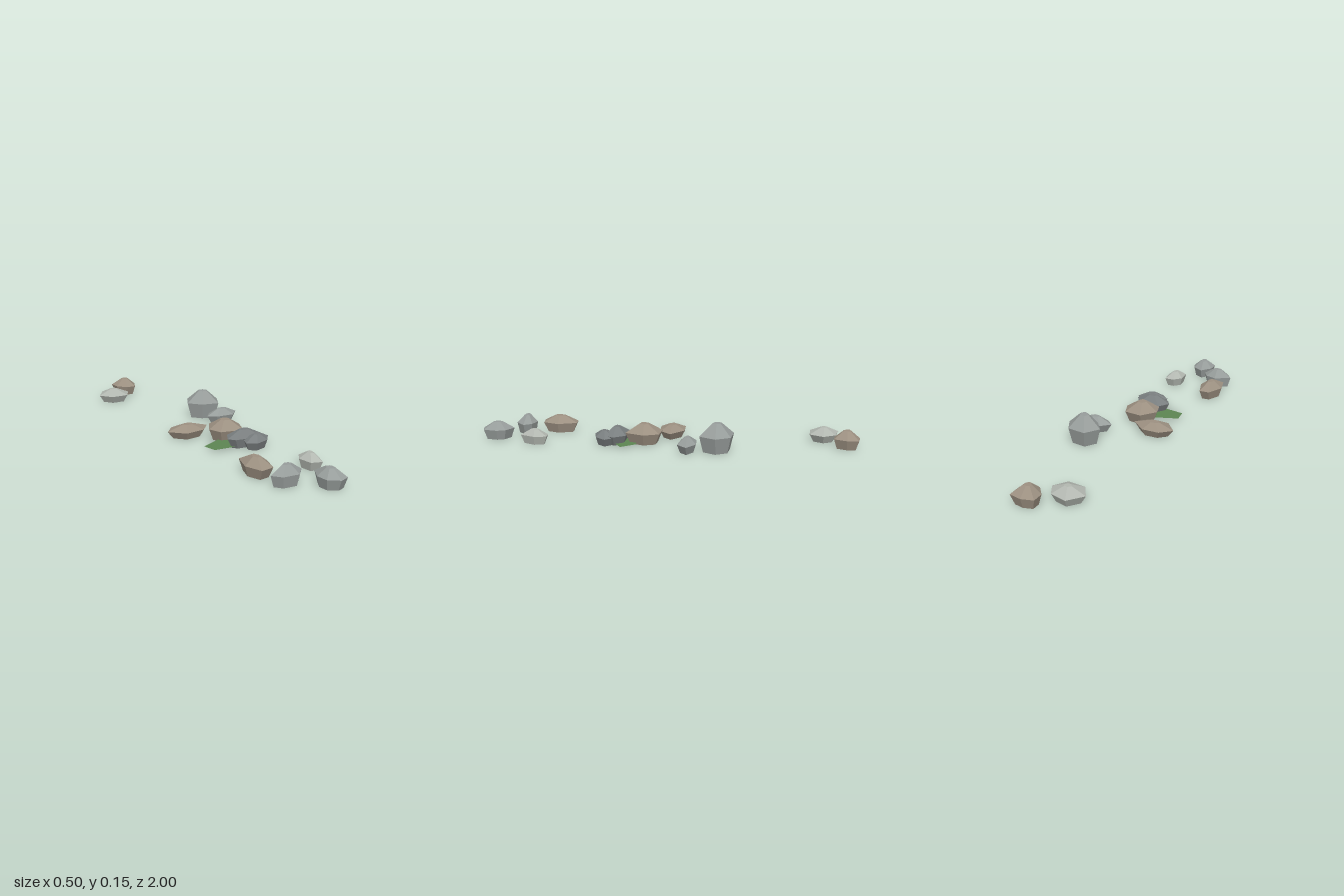
import * as THREE from 'three';

const BROWN = 0x9c9081, GREY = 0x979d9b, LIGHT = 0xb2b7b0, DARK = 0x7a7f80;
const mats = {};
const material = (color) => (mats[color] ??= new THREE.MeshStandardMaterial({ color, flatShading: true }));

// Faceted stone: narrow base ring, widest ring at `mid`, small flat crown at `height`.
// outline: widest ring as x, z pairs, clockwise from above.
function stone(name, color, height, mid, outline, base = 0.75, crown = 0.27) {
  const n = outline.length / 2;
  const xs = outline.filter((_, i) => i % 2 === 0), zs = outline.filter((_, i) => i % 2 === 1);
  const cx = (Math.min(...xs) + Math.max(...xs)) / 2, cz = (Math.min(...zs) + Math.max(...zs)) / 2;
  const ring = (y, s) => xs.map((x, i) => [(x - cx) * s, y, (zs[i] - cz) * s]);
  const rings = [ring(0, base), ring(mid, 1), ring(height, crown)];
  const pos = [];
  for (let i = 0; i < n; i++) {
    const j = (i + 1) % n;
    for (let r = 0; r < 2; r++) {
      const lo = rings[r], hi = rings[r + 1];
      pos.push(...lo[i], ...hi[i], ...hi[j], ...lo[i], ...hi[j], ...lo[j]);
    }
    pos.push(0, height, 0, ...rings[2][j], ...rings[2][i]);
    pos.push(0, 0, 0, ...rings[0][i], ...rings[0][j]);
  }
  const geo = new THREE.BufferGeometry();
  geo.setAttribute('position', new THREE.Float32BufferAttribute(pos, 3));
  geo.computeVertexNormals();
  const mesh = new THREE.Mesh(geo, material(color));
  mesh.name = name;
  mesh.position.set(cx, 0, cz);
  return mesh;
}

// Flat patch of moss lying just above the ground
function mossPatch() {
  const outline = [[-0.165, 0.2], [-0.05, 0.15], [0.1, 0.155], [0.16, 0.225], [0.05, 0.3], [-0.15, 0.275]];
  const geo = new THREE.ShapeGeometry(new THREE.Shape(outline.map(([x, z]) => new THREE.Vector2(x, -z))));
  geo.rotateX(-Math.PI / 2);
  const mesh = new THREE.Mesh(geo, new THREE.MeshStandardMaterial({ color: 0x5c8552, side: THREE.DoubleSide }));
  mesh.name = 'mossPatch';
  mesh.position.y = 0.01;
  return mesh;
}

export function createModel() {
  const group = new THREE.Group();
  group.name = 'scatteredStones';

  // Back pair
  group.add(stone('backBrownStone', BROWN, 0.093, 0.052,
    [-0.09, -0.98, -0.03, -1, 0.035, -0.99, 0.04, -0.93, 0.01, -0.865, -0.04, -0.87, -0.085, -0.92]));
  group.add(stone('backPaleStone', LIGHT, 0.073, 0.042,
    [-0.195, -0.9, -0.105, -0.88, -0.065, -0.815, -0.105, -0.745, -0.2, -0.75, -0.25, -0.82], 0.72, 0.2));

  // Tall stone and its neighbour
  group.add(stone('tallStone', GREY, 0.147, 0.085,
    [0.075, -0.355, 0.175, -0.345, 0.22, -0.27, 0.175, -0.185, 0.085, -0.21, 0.03, -0.275], 0.77));
  group.add(stone('lowStone', GREY, 0.077, 0.045,
    [0.1, -0.165, 0.18, -0.17, 0.25, -0.125, 0.2, -0.075, 0.1, -0.085, 0.06, -0.12], 0.7));

  // Middle cluster around the moss
  group.add(stone('middleLowBrownStone', BROWN, 0.066, 0.04,
    [-0.195, -0.075, -0.1, -0.08, -0.015, -0.01, -0.07, 0.05, -0.18, 0.06, -0.25, -0.015], 0.72));
  group.add(stone('middleBrownStone', BROWN, 0.103, 0.06,
    [-0.025, 0.03, 0.07, 0.035, 0.105, 0.115, 0.065, 0.215, -0.055, 0.185, -0.08, 0.115]));
  group.add(stone('middleDarkStone', DARK, 0.087, 0.05,
    [-0.035, 0.21, 0.085, 0.21, 0.13, 0.27, 0.095, 0.325, -0.045, 0.305, -0.07, 0.27]));
  group.add(stone('smallDarkStone', DARK, 0.072, 0.042,
    [0.01, 0.285, 0.11, 0.27, 0.15, 0.31, 0.105, 0.365, 0.03, 0.385, -0.015, 0.35]));
  group.add(mossPatch());

  // Front group
  group.add(stone('frontBrownStone', BROWN, 0.09, 0.053,
    [-0.185, 0.53, -0.13, 0.525, -0.09, 0.625, -0.12, 0.71, -0.19, 0.72, -0.22, 0.63]));
  group.add(stone('frontPaleStone', LIGHT, 0.077, 0.046,
    [0.095, 0.625, 0.145, 0.62, 0.16, 0.685, 0.125, 0.765, 0.07, 0.745, 0.06, 0.67]));
  group.add(stone('frontGreyStone', GREY, 0.098, 0.057,
    [-0.12, 0.745, -0.06, 0.76, -0.03, 0.8, -0.08, 0.85, -0.165, 0.84, -0.2, 0.795], 0.8, 0.3));
  group.add(stone('foremostStone', GREY, 0.09, 0.053,
    [0.015, 0.835, 0.075, 0.865, 0.095, 0.91, 0.08, 0.985, 0.03, 1, -0.02, 0.96, -0.025, 0.9], 0.78, 0.3));

  return group;
}
